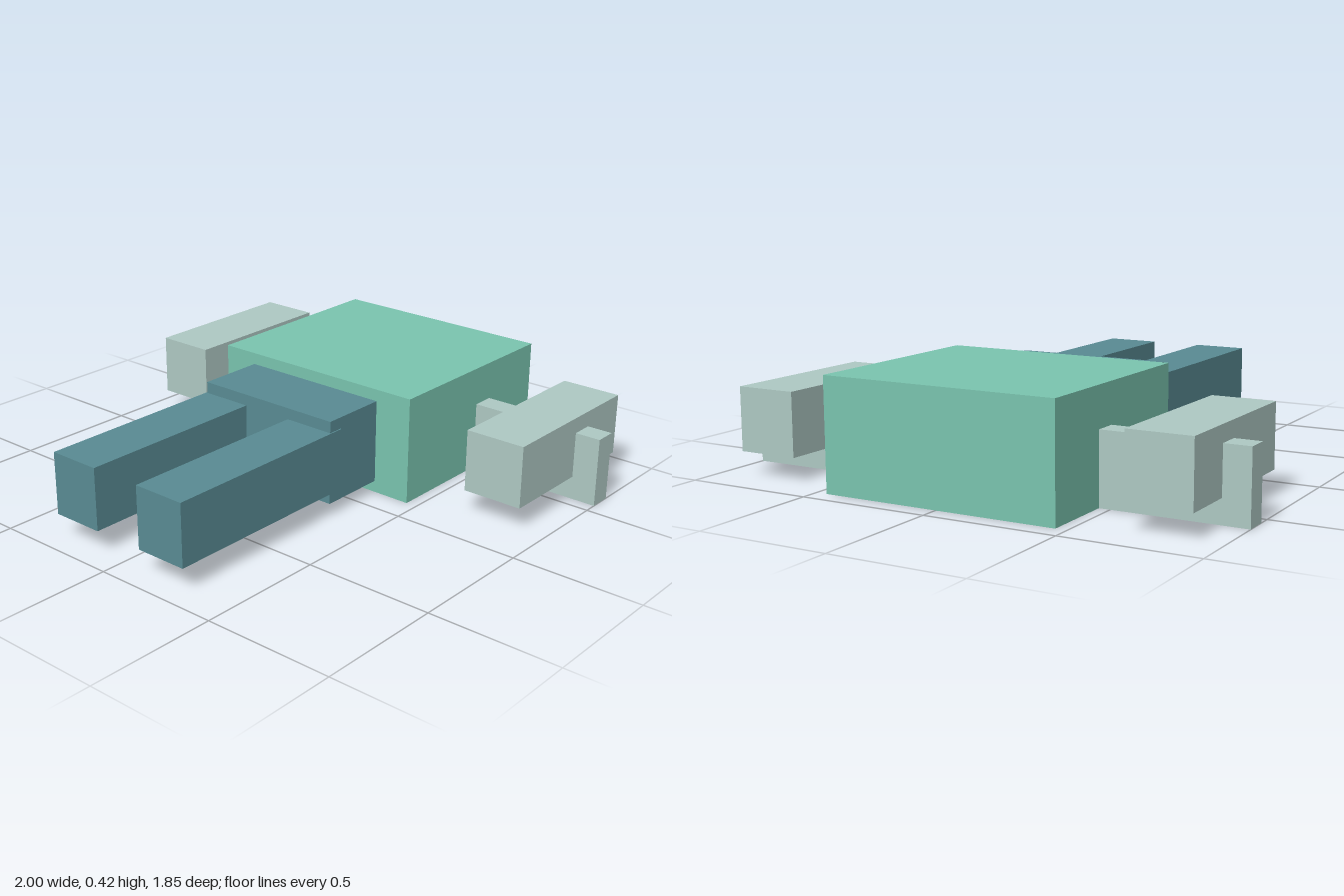
import * as THREE from 'three';

export function createModel() {
  const model = new THREE.Group();
  const material = (name, color) => {
    const m = new THREE.MeshStandardMaterial({ color });
    m.name = name;
    return m;
  };
  const green = material('seaGreen', 0x79c3ae);
  const blue = material('slateBlue', 0x588a92);
  const gray = material('paleGray', 0xadc7c2);

  // Box given by its [min, max] extent on each axis
  const block = (name, mat, x, y, z) => {
    const mesh = new THREE.Mesh(
      new THREE.BoxGeometry(x[1] - x[0], y[1] - y[0], z[1] - z[0]), mat);
    mesh.position.set((x[0] + x[1]) / 2, (y[0] + y[1]) / 2, (z[0] + z[1]) / 2);
    mesh.name = name;
    model.add(mesh);
  };

  // Main body and the narrower block in front of it
  block('body', green, [-0.458, 0.456], [0, 0.418], [-0.929, -0.11]);
  block('frontBlock', blue, [-0.31, 0.306], [0.048, 0.374], [-0.106, 0.163]);

  // Paired parts, mirrored left and right
  for (const [side, s] of [['left', 1], ['right', -1]]) {
    const span = (a, b) => (s > 0 ? [a, b] : [-b, -a]);
    const legX = s > 0 ? [0.102, 0.311] : [-0.315, -0.106];
    block(side + 'Prong', blue, legX, [0.09, 0.33], [0.105, 0.925]);
    block(side + 'Pod', gray, span(0.662, 0.9), [0.09, 0.33], [-0.855, -0.186]);
    block(side + 'Wing', gray, span(0.45, 1), [0, 0.268], [-0.638, -0.55]);
  }
  return model;
}
